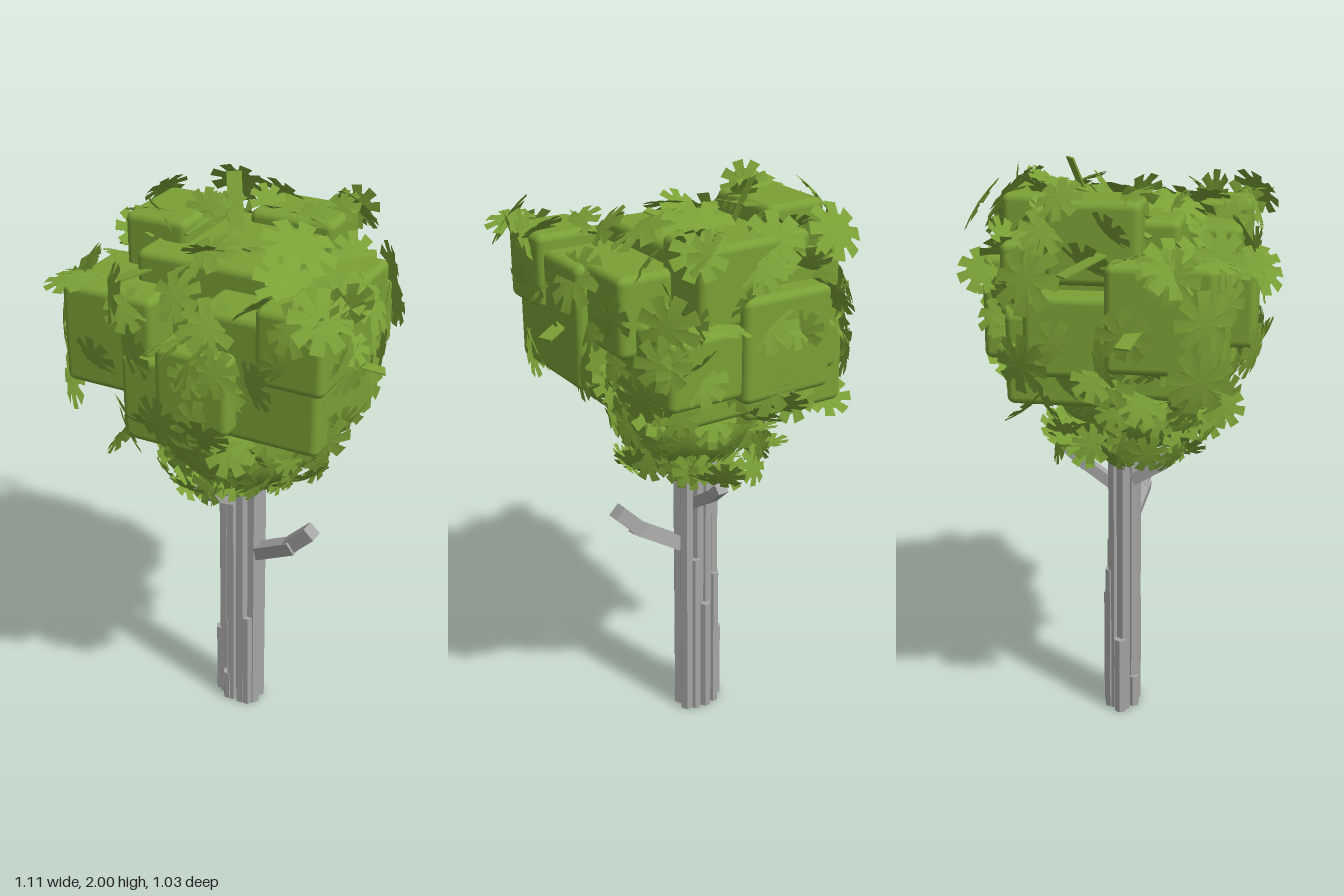
import * as THREE from 'three';
import { RoundedBoxGeometry } from 'three/addons/geometries/RoundedBoxGeometry.js';

const green = new THREE.MeshStandardMaterial({ color: 0x7aa036, side: THREE.DoubleSide });
green.name = 'leafGreen';
const grey = new THREE.MeshStandardMaterial({ color: 0xa6a6a6, flatShading: true });
grey.name = 'barkGrey';

// Small seeded generator so the foliage is always the same
let seed = 7;
const rand = () => {
  seed = (seed * 1664525 + 1013904223) % 4294967296;
  return seed / 4294967296;
};
const spread = (a) => (rand() * 2 - 1) * a;
const V = (x, y, z) => new THREE.Vector3(x, y, z);
const UP = V(0, 1, 0), FRONT = V(0, 0, 1);
const CENTRE = V(0, 1.5, 0);

function add(parent, name, geometry, material) {
  const mesh = new THREE.Mesh(geometry, material);
  mesh.name = name;
  parent.add(mesh);
  return mesh;
}

// Faceted stick from a to b
function stick(parent, name, a, b, r, sides) {
  const m = add(parent, name, new THREE.CylinderGeometry(r, r, a.distanceTo(b), sides), grey);
  m.position.copy(a).lerp(b, 0.5);
  m.quaternion.setFromUnitVectors(UP, b.clone().sub(a).normalize());
  m.rotateY(Math.PI / sides);
}

// Slightly cupped leaf with eight broad, blunt lobes
function leafGeometry() {
  const g = new THREE.CircleGeometry(1, 32);
  const p = g.attributes.position;
  const offsets = [-0.23, 0.23, 0.31, Math.PI / 4 - 0.31];
  for (let i = 1; i < p.count; i++) {
    const k = (i - 1) % 4, r = k < 2 ? 1 : 0.6;
    const a = Math.floor((i - 1) / 4) * Math.PI / 4 + offsets[k];
    p.setXYZ(i, Math.cos(a) * r, Math.sin(a) * r, -0.12 * r * r);
  }
  g.computeVertexNormals();
  return g;
}

function createTrunk() {
  const trunk = new THREE.Group();
  trunk.name = 'trunk';
  // Bundle of long posts: x, z, radius
  const posts = [
    [-0.056, -0.008, 0.025], [-0.045, -0.04, 0.024], [-0.014, 0.018, 0.025], [0.024, 0.02, 0.025],
    [0.058, 0.0, 0.027], [0.06, -0.044, 0.025], [0.017, -0.046, 0.024], [-0.018, -0.044, 0.023],
    [0.004, -0.012, 0.03],
  ];
  for (const [x, z, r] of posts) stick(trunk, 'post', V(x, 0, z), V(x, 1.25, z), r, 6);
  // Short posts around the foot: x, z, height, radius
  const roots = [
    [-0.079, -0.016, 0.29, 0.022], [-0.03, 0.024, 0.12, 0.021], [0.047, 0.022, 0.4, 0.021],
    [0.034, -0.06, 0.63, 0.02], [-0.005, -0.066, 0.44, 0.021], [-0.045, -0.056, 0.55, 0.02],
  ];
  for (const [x, z, h, r] of roots) stick(trunk, 'rootPost', V(x, 0, z), V(x, h, z), r, 6);
  // Square branches
  stick(trunk, 'sideBranch', V(0.05, 0.67, -0.01), V(0.23, 0.775, 0.03), 0.035, 4);
  stick(trunk, 'sideBranchTip', V(0.21, 0.765, 0.02), V(0.296, 0.852, 0.028), 0.036, 4);
  stick(trunk, 'frontBranch', V(-0.02, 0.89, 0.02), V(-0.03, 0.96, 0.13), 0.03, 4);
  stick(trunk, 'frontBranchTip', V(-0.03, 0.95, 0.12), V(-0.03, 1.04, 0.21), 0.03, 4);
  stick(trunk, 'backBranch', V(0.02, 0.84, -0.04), V(0.03, 0.93, -0.17), 0.027, 4);
  stick(trunk, 'backBranchTip', V(0.03, 0.91, -0.15), V(0.04, 0.98, -0.23), 0.026, 4);
  return trunk;
}

// Rounded blocks of the crown: min and max corners
const BLOCKS = [
  [-0.46, 1.39, -0.01, -0.13, 1.73, 0.33],
  [0.25, 1.56, 0.17, 0.475, 1.81, 0.39],
  [-0.07, 1.38, 0.18, 0.185, 1.64, 0.43],
  [-0.24, 1.24, 0.02, 0.055, 1.54, 0.35],
  [0.04, 1.35, -0.045, 0.455, 1.76, 0.37],
  [0.02, 1.51, -0.245, 0.42, 1.77, 0.12],
  [-0.06, 1.61, -0.41, 0.24, 1.87, -0.185],
  [-0.365, 1.64, -0.21, -0.14, 1.9, 0.09],
  [-0.26, 1.4, -0.28, 0.22, 1.83, 0.2],
  [-0.32, 1.38, -0.36, 0.05, 1.76, 0],
  [-0.23, 1.36, -0.44, 0.1, 1.7, -0.1],
  [0.1, 1.39, -0.44, 0.365, 1.62, -0.1],
  [-0.42, 1.36, -0.27, -0.12, 1.62, 0.06],
  [-0.36, 1.25, -0.34, 0.02, 1.55, 0.02],
  [-0.02, 1.28, -0.35, 0.3, 1.52, -0.1],
];

// Leaves at corners and on the main faces: x, y, z, radius
const LEAVES = [
  [0.11, 1.885, -0.2, 0.12], [0.2, 1.85, -0.03, 0.13], [-0.03, 1.85, 0.16, 0.11],
  [0.25, 1.8, 0.17, 0.11], [0.47, 1.82, 0.4, 0.1], [-0.36, 1.92, -0.16, 0.08],
  [-0.23, 1.87, -0.45, 0.1], [0.36, 1.66, -0.42, 0.1], [-0.03, 1.86, -0.4, 0.1],
  [0.24, 1.86, -0.4, 0.09], [-0.46, 1.73, 0.2, 0.1], [-0.48, 1.57, 0.3, 0.1],
  [-0.47, 1.38, 0.29, 0.11], [-0.28, 1.73, 0.33, 0.1], [-0.06, 1.37, 0.43, 0.1],
  [0.1, 1.37, 0.44, 0.09], [0.15, 1.6, 0.45, 0.08], [0.45, 1.38, 0.3, 0.09],
  [0.48, 1.58, 0.2, 0.09], [-0.08, 1.74, 0.27, 0.09], [0.1, 1.72, 0.39, 0.09],
  [-0.22, 1.57, 0.35, 0.09], [-0.28, 1.25, 0.25, 0.1], [0.45, 1.72, -0.02, 0.11],
  [0.45, 1.42, -0.03, 0.1], [0.38, 1.4, -0.3, 0.1], [-0.4, 1.67, -0.26, 0.12],
  [0.38, 1.55, -0.42, 0.09], [-0.42, 1.4, -0.28, 0.1], [0, 1.4, -0.45, 0.1],
];

function createCrown() {
  const crown = new THREE.Group();
  crown.name = 'crown';
  const leaf = leafGeometry();

  function placeLeaf(pos, normal, r, tilt) {
    const m = add(crown, 'leaf', leaf, green);
    m.position.set(
      THREE.MathUtils.clamp(pos.x, -0.48, 0.48),
      THREE.MathUtils.clamp(pos.y, 1.02, 1.91),
      THREE.MathUtils.clamp(pos.z, -0.44, 0.45));
    const n = normal.clone().normalize().add(V(spread(tilt), spread(tilt), spread(tilt))).normalize();
    m.quaternion.setFromUnitVectors(FRONT, n);
    m.rotateZ(rand() * 6.28);
    m.scale.setScalar(r);
  }

  // Round underside
  const ballCentre = V(0.03, 1.23, 0.015);
  const ball = add(crown, 'crownUnderside', new THREE.SphereGeometry(1, 32, 20), green);
  ball.position.copy(ballCentre);
  ball.scale.set(0.265, 0.24, 0.262);

  // Blocks, each with leaves on its outward faces
  for (const [x0, y0, z0, x1, y1, z1] of BLOCKS) {
    const size = V(x1 - x0, y1 - y0, z1 - z0);
    const mid = V((x0 + x1) / 2, (y0 + y1) / 2, (z0 + z1) / 2);
    const block = add(crown, 'crownBlock', new RoundedBoxGeometry(size.x, size.y, size.z, 3, 0.025), green);
    block.position.copy(mid);
    const out = mid.clone().sub(CENTRE);
    for (let i = 0; i < 9; i++) {
      const axis = ['x', 'y', 'z'][i % 3];
      const sign = Math.sign(out[axis]) || 1;
      const pos = mid.clone().add(V(spread(0.5) * size.x, spread(0.5) * size.y, spread(0.5) * size.z));
      pos[axis] = mid[axis] + sign * (size[axis] / 2 + 0.012);
      const normal = V(0, 0, 0);
      normal[axis] = sign;
      placeLeaf(pos, normal, 0.065 + rand() * 0.025, 0.7);
    }
  }

  for (const [x, y, z, r] of LEAVES) {
    const pos = V(x, y, z);
    placeLeaf(pos, pos.clone().sub(CENTRE), r, 0.25);
  }

  // Ragged leaves around the underside
  for (let i = 0; i < 50; i++) {
    const a = i * 2.39996, h = -0.85 + 0.95 * rand(), c = Math.sqrt(1 - h * h);
    const dir = V(Math.cos(a) * c, h, Math.sin(a) * c);
    placeLeaf(dir.clone().multiply(ball.scale).add(ballCentre), dir, 0.06 + rand() * 0.025, 0.7);
  }
  // Low fringe around the branches
  for (let i = 0; i < 32; i++) {
    const a = i / 32 * Math.PI * 2, r = 0.235 + spread(0.045);
    const dir = V(Math.cos(a), -0.4, Math.sin(a));
    placeLeaf(V(Math.cos(a) * r, 1.06 + spread(0.04), Math.sin(a) * r), dir, 0.07, 0.9);
  }
  // Leaf skirt below the blocks
  for (let i = 0; i < 32; i++) {
    const a = i / 32 * Math.PI * 2, r = 0.36 + spread(0.06);
    const dir = V(Math.cos(a), -0.3, Math.sin(a));
    placeLeaf(V(Math.cos(a) * r, 1.33 + spread(0.07), Math.sin(a) * r), dir, 0.085, 0.8);
  }

  // Long blades standing out of the crown: start and end points
  const blades = [
    [-0.06, 1.8, -0.1, -0.107, 1.997, -0.17], [-0.16, 1.86, 0.08, -0.09, 1.91, -0.19],
    [-0.27, 1.78, 0.11, -0.23, 1.85, 0], [0.03, 1.82, 0, 0.12, 1.86, 0.1],
    [-0.5, 1.7, -0.13, -0.4, 1.75, -0.02], [-0.2, 1.89, -0.03, -0.1, 1.91, -0.08],
    [-0.55, 1.5, 0.06, -0.4, 1.55, 0.1], [0.53, 1.52, 0.04, 0.4, 1.56, 0.1],
    [-0.3, 1.74, 0.25, -0.2, 1.78, 0.17],
  ];
  for (const [x0, y0, z0, x1, y1, z1] of blades) {
    const a = V(x0, y0, z0), b = V(x1, y1, z1);
    const m = add(crown, 'leafBlade', new THREE.BoxGeometry(0.05, 0.006, a.distanceTo(b)), green);
    m.position.copy(a).lerp(b, 0.5);
    m.lookAt(b);
  }
  return crown;
}

export function createModel() {
  const tree = new THREE.Group();
  tree.name = 'tree';
  tree.add(createTrunk(), createCrown());
  return tree;
}
